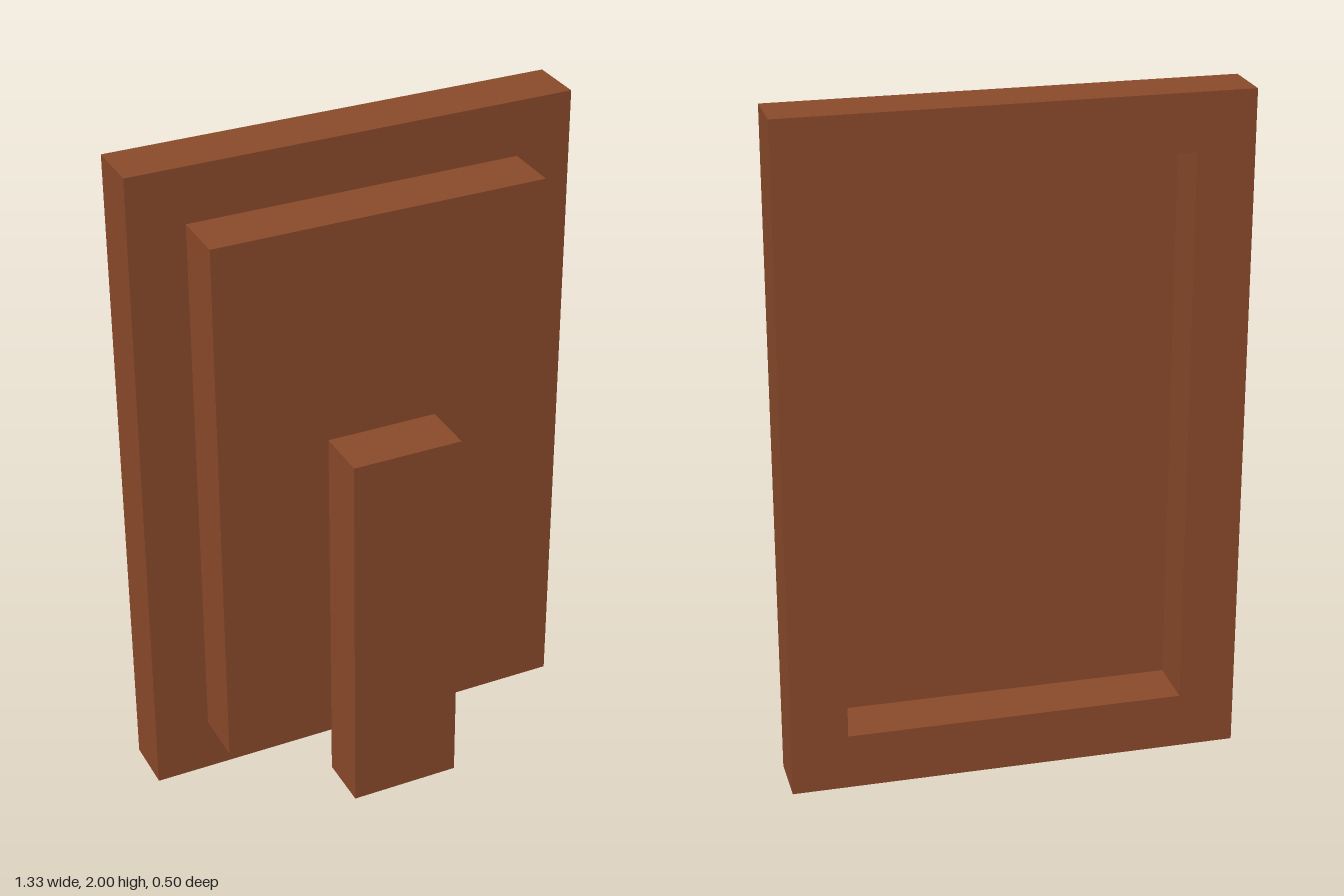
import * as THREE from 'three';

export function createModel() {
  const group = new THREE.Group();
  const wood = new THREE.MeshStandardMaterial({ color: 0x8b4a2b });
  wood.name = 'brown wood';

  const U = 1 / 6; // board thickness and border width
  const W = 8 * U, H = 2;

  const add = (name, geometry, x, y, z) => {
    const mesh = new THREE.Mesh(geometry, wood);
    mesh.name = name;
    mesh.position.set(x, y, z);
    group.add(mesh);
  };

  // Rectangular frame, open in the middle
  const outline = new THREE.Shape([
    new THREE.Vector2(-W / 2, 0), new THREE.Vector2(W / 2, 0),
    new THREE.Vector2(W / 2, H), new THREE.Vector2(-W / 2, H),
  ]);
  const a = W / 2 - U;
  outline.holes.push(new THREE.Path([
    new THREE.Vector2(-a, U), new THREE.Vector2(-a, H - U),
    new THREE.Vector2(a, H - U), new THREE.Vector2(a, U),
  ]));
  add('frame', new THREE.ExtrudeGeometry(outline, { depth: U, bevelEnabled: false }), 0, 0, -1.5 * U);

  // Panel set in front of the opening
  add('panel', new THREE.BoxGeometry(2 * a, H - 2 * U, U), 0, H / 2, 0);

  // Upright support standing on the ground
  add('supportLeg', new THREE.BoxGeometry(2 * U, 7 * U, U), 0, 3.5 * U, U);

  return group;
}
